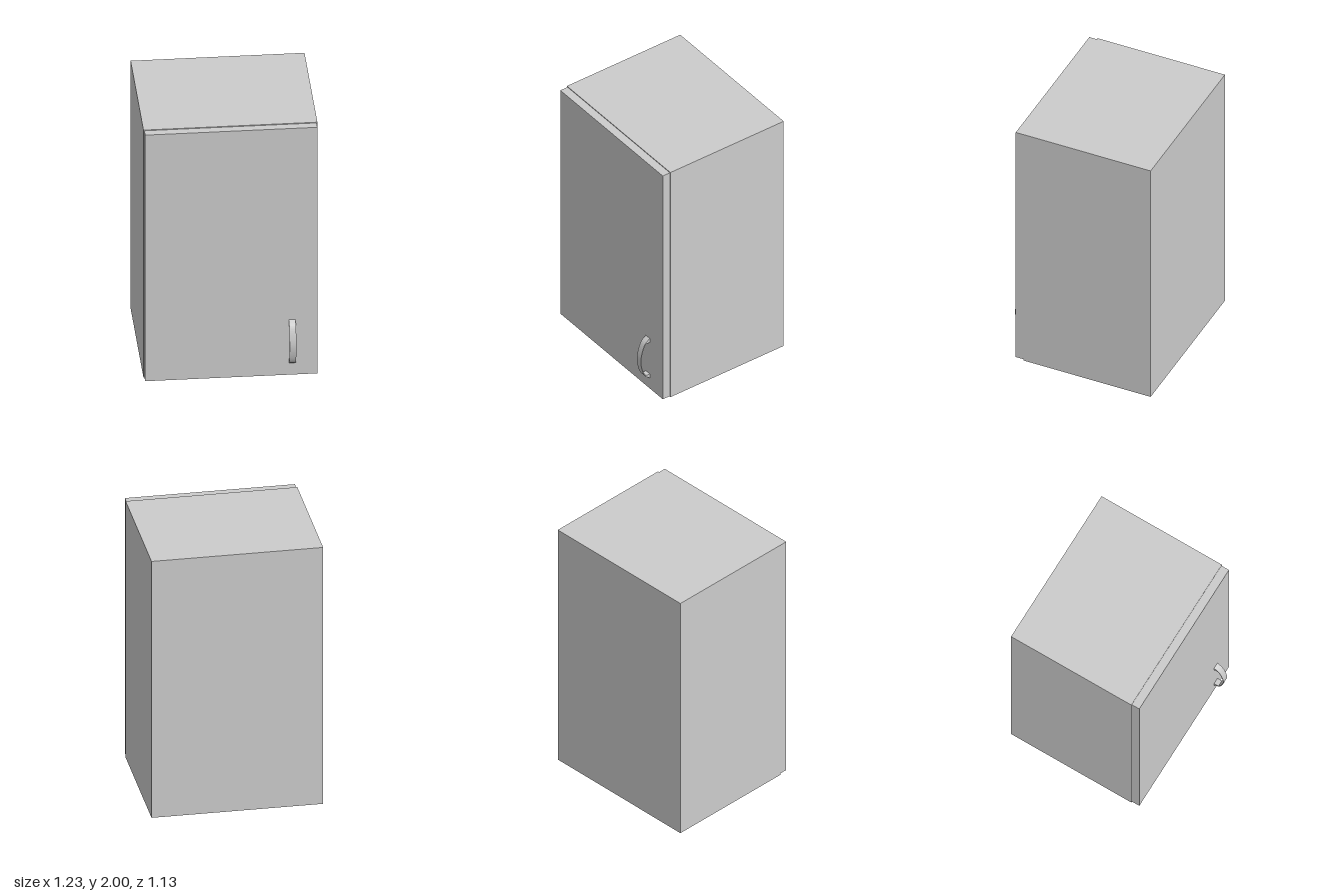
import * as THREE from 'three';

const material = new THREE.MeshStandardMaterial({ color: 0xcccccc });

function addPart(group, name, geometry, x, y, z) {
  const mesh = new THREE.Mesh(geometry, material);
  mesh.name = name;
  mesh.position.set(x, y, z);
  group.add(mesh);
}

// Bow handle: side profile (depth, height) extruded across its width
function handleGeometry(width) {
  const half = 0.175, footHalf = 0.14;
  const outer = new THREE.SplineCurve([
    [0, -half], [0.04, -0.142], [0.066, -0.08], [0.078, 0],
    [0.066, 0.08], [0.04, 0.142], [0, half],
  ].map(([d, h]) => new THREE.Vector2(d, h))).getPoints(32);
  const inner = new THREE.SplineCurve([
    [0.036, footHalf], [0.061, 0.078], [0.073, 0],
    [0.061, -0.078], [0.036, -footHalf],
  ].map(([d, h]) => new THREE.Vector2(d, h))).getPoints(32);
  const profile = new THREE.Shape([
    ...outer,
    new THREE.Vector2(0, footHalf),
    ...inner,
    new THREE.Vector2(0, -footHalf),
  ]);
  const geometry = new THREE.ExtrudeGeometry(profile, { depth: width, bevelEnabled: false });
  geometry.translate(0, 0, -width / 2);
  geometry.rotateY(-Math.PI / 2); // depth now points to +z
  return geometry;
}

export function createModel() {
  const cabinet = new THREE.Group();
  cabinet.name = 'wallCabinet';
  const back = -0.564, doorBack = 0.423, doorFront = 0.485;

  // Cabinet body
  addPart(cabinet, 'body', new THREE.BoxGeometry(1.226, 2, doorBack - back),
    0, 1, (back + doorBack) / 2);

  // Door, slightly smaller than the body all round
  addPart(cabinet, 'door', new THREE.BoxGeometry(1.214, 1.988, doorFront - doorBack),
    0, 1, (doorBack + doorFront) / 2);

  // Handle near the lower corner of the door
  addPart(cabinet, 'handle', handleGeometry(0.047), 0.429, 0.275, doorFront);

  return cabinet;
}
